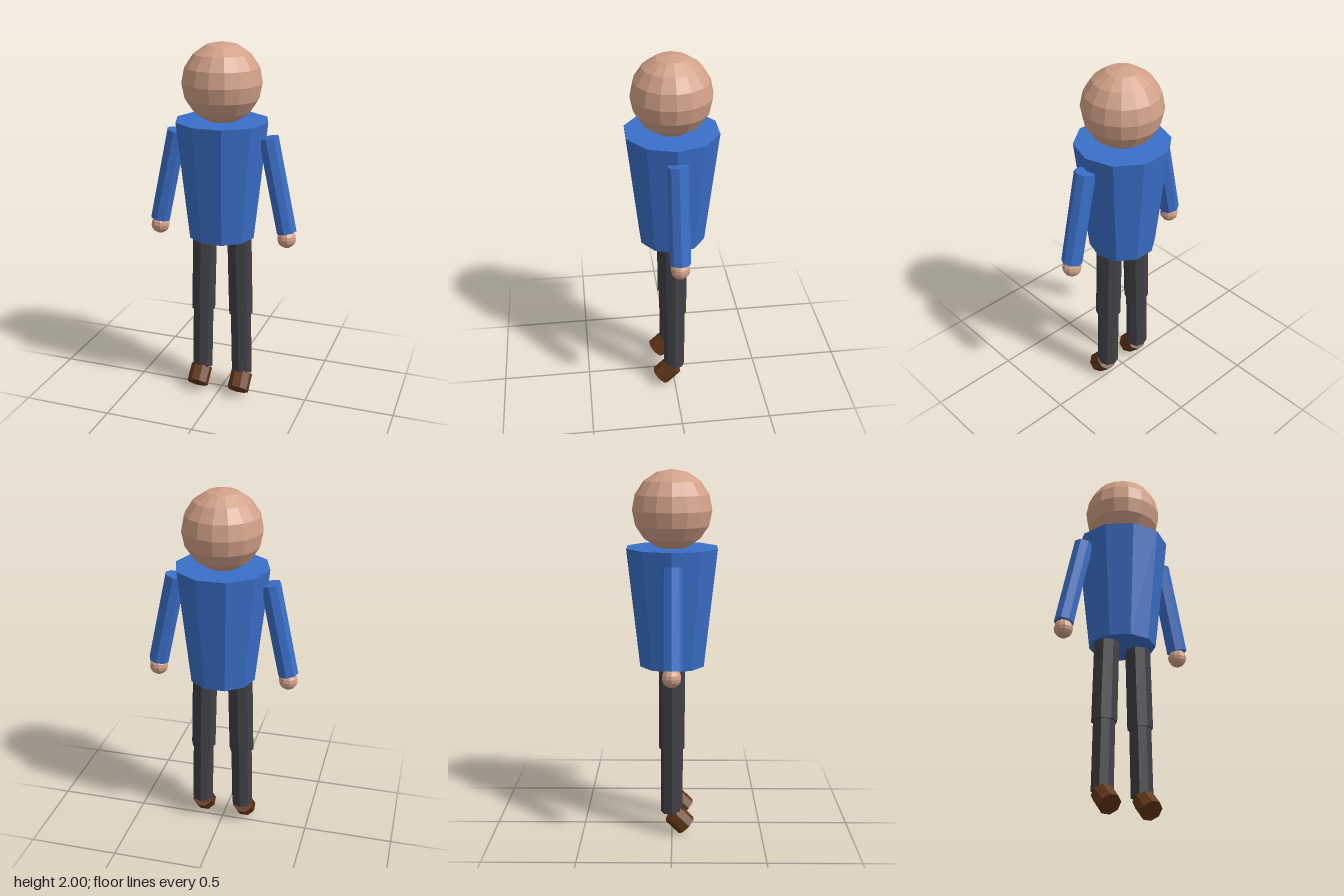
import * as THREE from 'three';

const mat = (color) => new THREE.MeshStandardMaterial({ color, flatShading: true });

export function createModel() {
  const group = new THREE.Group();
  const skin = mat(0xd2a188);
  const shirt = mat(0x3a6fc8);
  const trousers = mat(0x404046);
  const leather = mat(0x623618);

  const add = (name, geometry, material, x = 0, y = 0, z = 0) => {
    const mesh = new THREE.Mesh(geometry, material);
    mesh.name = name;
    mesh.position.set(x, y, z);
    group.add(mesh);
    return mesh;
  };

  // Eight-sided limb between two points in the x-y plane
  const limb = (name, radius, material, [x0, y0], [x1, y1]) => {
    const length = Math.hypot(x1 - x0, y1 - y0);
    const mesh = add(name, new THREE.CylinderGeometry(radius, radius, length, 8), material,
      (x0 + x1) / 2, (y0 + y1) / 2);
    mesh.rotation.z = Math.atan2(x1 - x0, y0 - y1);
  };

  // Head and tapered ten-sided torso
  add('head', new THREE.SphereGeometry(0.213, 16, 8), skin, 0, 1.787, 0);
  add('torso', new THREE.CylinderGeometry(0.254, 0.182, 0.645, 10).rotateY(Math.PI / 2), shirt, 0, 1.268, 0);

  for (const [side, s] of [['left', 1], ['right', -1]]) {
    // Arm and hand
    limb(side + 'Arm', 0.056, shirt, [s * 0.257, 1.515], [s * 0.367, 1.003]);
    add(side + 'Hand', new THREE.SphereGeometry(0.052, 10, 8), skin, s * 0.368, 0.967, 0);

    // Leg in two sections, slightly splayed
    limb(side + 'UpperLeg', 0.07, trousers, [s * 0.1, 0.955], [s * 0.112, 0.495]);
    limb(side + 'LowerLeg', 0.06, trousers, [s * 0.112, 0.51], [s * 0.12, 0.125]);

    // Shoe pointing forward and down
    const shoe = add(side + 'Shoe',
      new THREE.CylinderGeometry(0.061, 0.061, 0.105, 8).rotateY(Math.PI / 8), leather,
      s * 0.123, 0.078, 0.043);
    shoe.rotation.x = -Math.PI / 4;
  }
  return group;
}
